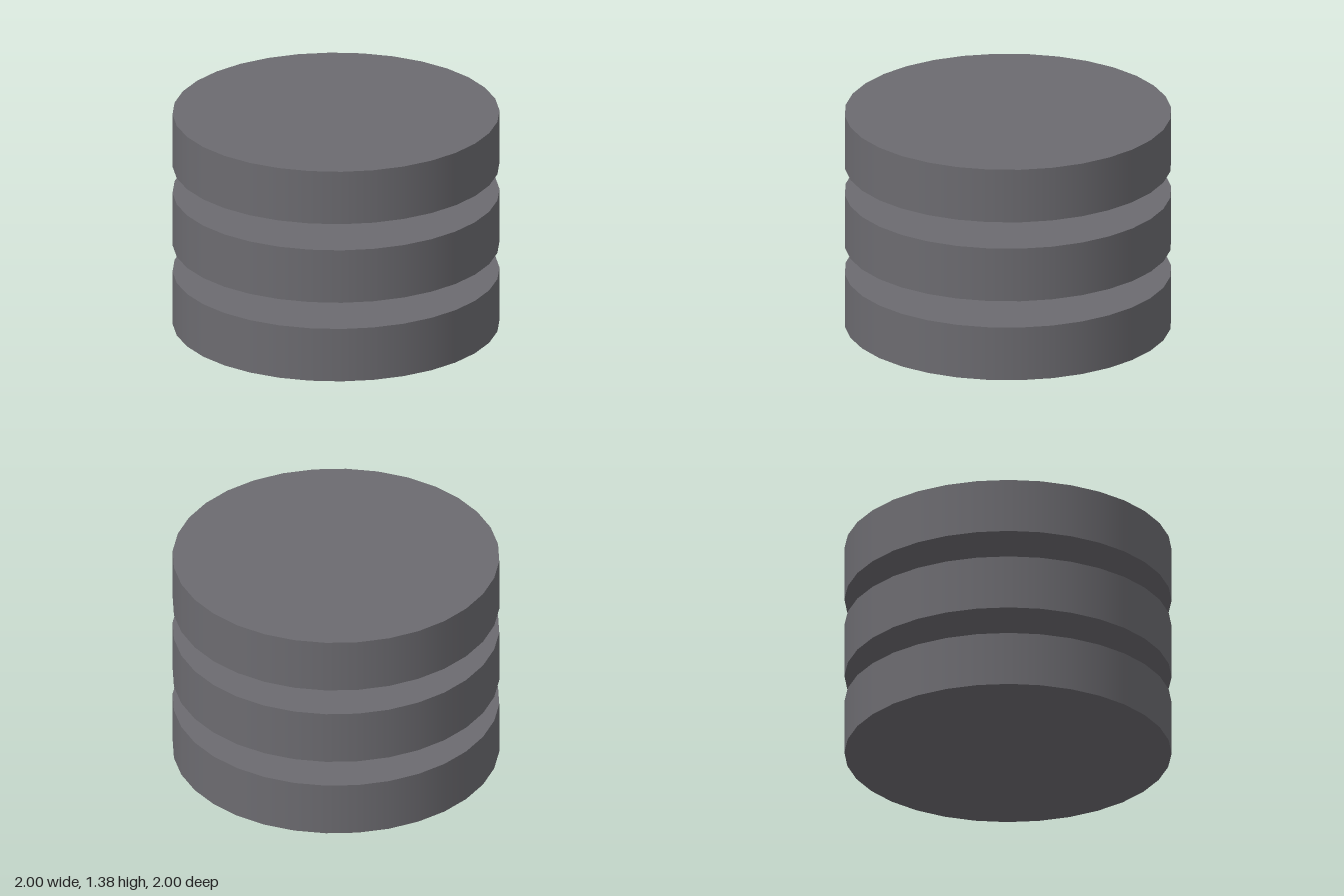
import * as THREE from 'three';

const RADIUS = 1;
const THICKNESS = 0.344;
const SPACING = 0.516;

export function createModel() {
  const model = new THREE.Group();
  model.name = 'discStack';

  const material = new THREE.MeshStandardMaterial({ color: 0x6c6b70 });
  const discGeometry = new THREE.CylinderGeometry(RADIUS, RADIUS, THICKNESS, 32);

  // Three equal discs floating one above the other
  ['lowerDisc', 'middleDisc', 'upperDisc'].forEach((name, i) => {
    const disc = new THREE.Mesh(discGeometry, material);
    disc.name = name;
    disc.position.y = THICKNESS / 2 + i * SPACING;
    model.add(disc);
  });

  return model;
}
